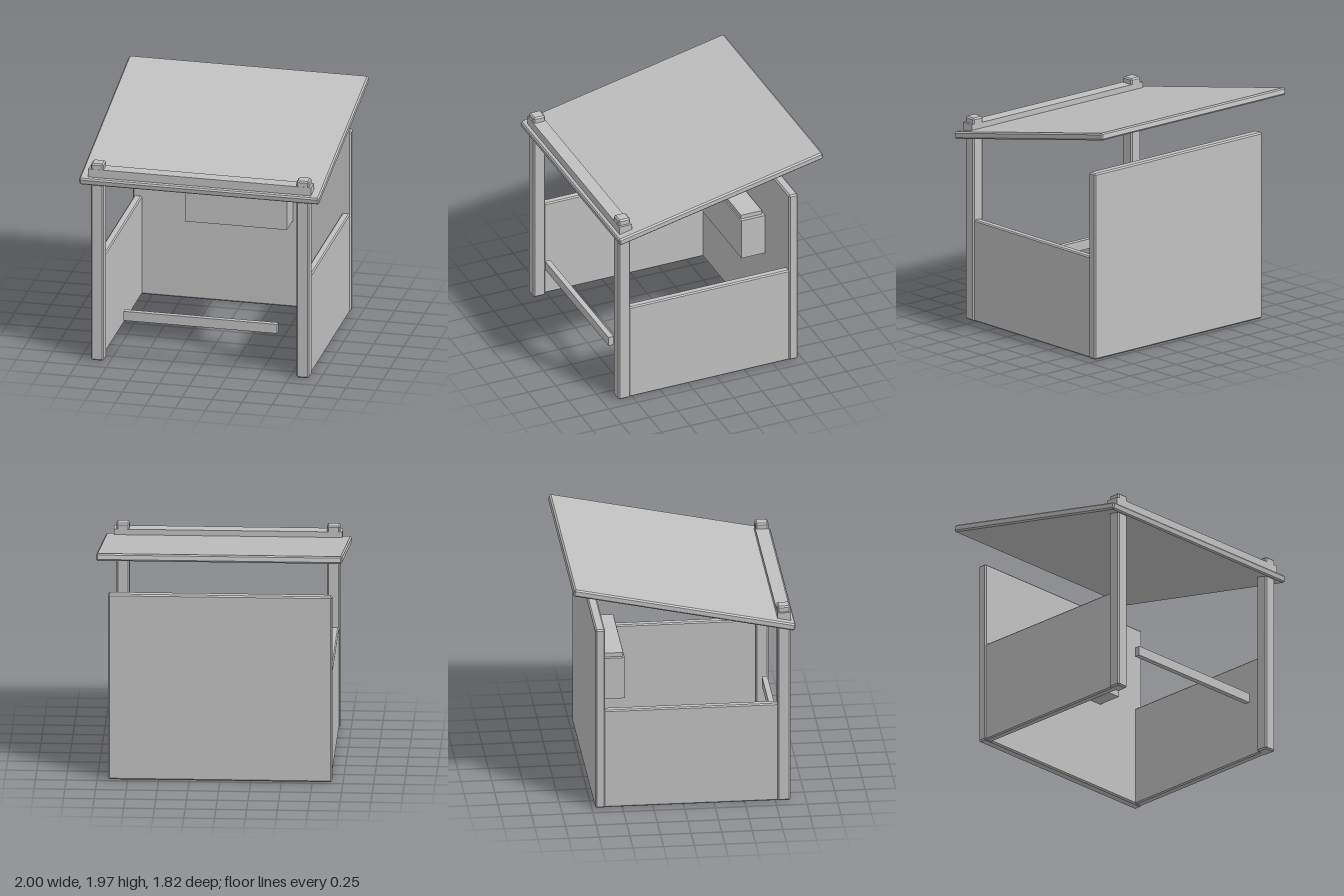
import * as THREE from 'three';
import { ConvexGeometry } from 'three/addons/geometries/ConvexGeometry.js';

// Box with small flat chamfers on every edge
function chamferBox(w, h, d, c = 0.012) {
  const points = [];
  for (const x of [-1, 1]) for (const y of [-1, 1]) for (const z of [-1, 1]) {
    const [X, Y, Z] = [x * w / 2, y * h / 2, z * d / 2];
    points.push(
      new THREE.Vector3(X, Y - y * c, Z - z * c),
      new THREE.Vector3(X - x * c, Y, Z - z * c),
      new THREE.Vector3(X - x * c, Y - y * c, Z));
  }
  return new ConvexGeometry(points);
}

export function createModel() {
  const model = new THREE.Group();
  model.name = 'marketStall';
  const grey = new THREE.MeshStandardMaterial({ color: 0xc0c0c0 });
  grey.name = 'plain grey';

  const add = (name, geometry, x, y, z) => {
    const mesh = new THREE.Mesh(geometry, grey);
    mesh.name = name;
    mesh.position.set(x, y, z);
    model.add(mesh);
    return mesh;
  };
  // Adds a part from its lower and upper corners
  const span = (name, [x0, y0, z0], [x1, y1, z1], chamfer = 0) => {
    const size = [x1 - x0, y1 - y0, z1 - z0];
    const geometry = chamfer ? chamferBox(...size, chamfer) : new THREE.BoxGeometry(...size);
    return add(name, geometry, (x0 + x1) / 2, (y0 + y1) / 2, (z0 + z1) / 2);
  };

  // Back wall
  span('backWall', [-0.91, 0, -0.72], [0.91, 1.575, -0.64], 0.012);

  // Front posts and low side walls
  for (const [side, s] of [['left', 1], ['right', -1]]) {
    add(side + 'Post', chamferBox(0.106, 1.718, 0.106), s * 0.857, 0.859, 0.82);
    add(side + 'Wall', chamferBox(0.066, 0.857, 1.44, 0.01), s * 0.867, 0.4285, 0.07);
  }

  // Sloping roof, with the beam that carries its front edge
  const roof = add('roof', chamferBox(2, 0.06, 1.85), 0, 1.755, 0);
  roof.rotation.x = THREE.MathUtils.degToRad(12);
  span('frontBeam', [-0.93, 1.56, 0.765], [0.93, 1.67, 0.875]);

  // Rail between the posts
  span('frontRail', [-0.64, 0.36, 0.80], [0.64, 0.44, 0.845]);

  // Box and lid against the back wall
  span('storageBox', [-0.425, 0.755, -0.64], [0.425, 1.113, -0.43]);
  span('storageLid', [-0.395, 1.113, -0.625], [0.395, 1.147, -0.44]);

  return model;
}
